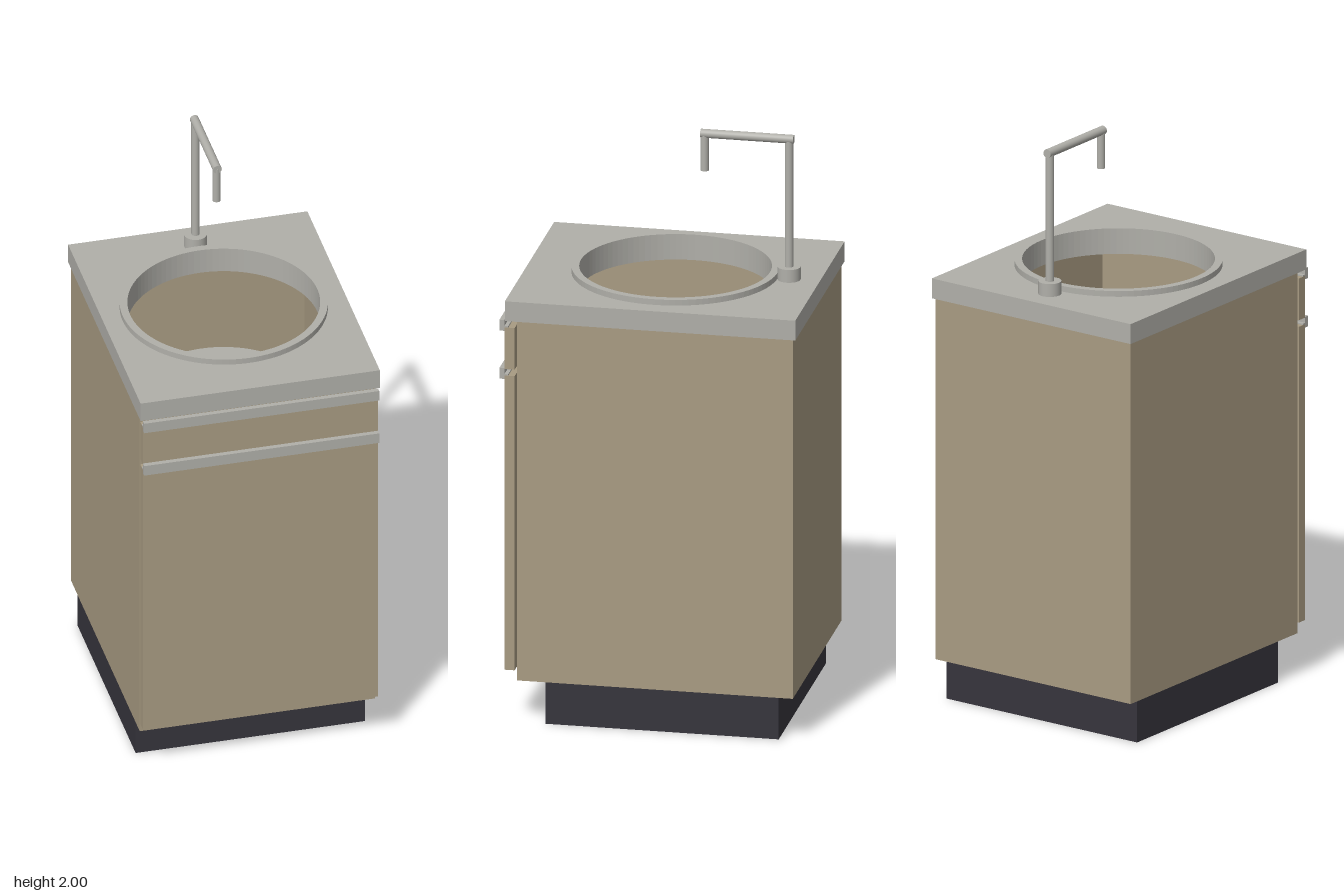
import * as THREE from 'three';

export function createModel() {
  const model = new THREE.Group();
  model.name = 'sinkCabinet';

  const wood = new THREE.MeshStandardMaterial({ color: 0xa89b82 });
  wood.name = 'beige wood';
  const metal = new THREE.MeshStandardMaterial({ color: 0xb0afa9 });
  metal.name = 'grey metal';
  const dark = new THREE.MeshStandardMaterial({ color: 0x36343c });
  dark.name = 'dark plinth';

  const add = (name, geometry, material, parent = model) => {
    const mesh = new THREE.Mesh(geometry, material);
    mesh.name = name;
    parent.add(mesh);
    return mesh;
  };
  // Box given by its limits on each axis
  const box = (name, material, [x0, x1], [y0, y1], [z0, z1], parent) => {
    const mesh = add(name, new THREE.BoxGeometry(x1 - x0, y1 - y0, z1 - z0), material, parent);
    mesh.position.set((x0 + x1) / 2, (y0 + y1) / 2, (z0 + z1) / 2);
    return mesh;
  };
  const group = (name) => {
    const g = new THREE.Group();
    g.name = name;
    model.add(g);
    return g;
  };
  // Horizontal plate with a round hole, rising from y0
  const plate = (name, shape, [hx, hz, hr], y0, height) => {
    const hole = new THREE.Path();
    hole.absarc(hx, -hz, hr, 0, Math.PI * 2, true);
    shape.holes.push(hole);
    const geometry = new THREE.ExtrudeGeometry(shape, { depth: height, bevelEnabled: false, curveSegments: 48 });
    geometry.rotateX(-Math.PI / 2);
    const mesh = add(name, geometry, metal);
    mesh.position.y = y0;
    return mesh;
  };
  const disc = (r, z) => new THREE.Shape().absarc(0, -z, r, 0, Math.PI * 2, false);

  // Plinth
  box('plinth', dark, [-0.395, 0.395], [0, 0.15], [-0.445, 0.35]);

  // Hollow carcass, open at the top under the counter
  const W = 0.405, T = 0.008, back = -0.495, front = 0.445;
  const carcass = group('carcass');
  box('carcassFloor', wood, [-W, W], [0.15, 0.15 + T], [back, front], carcass);
  for (const s of [-1, 1]) {
    const x = s * (W - T / 2);
    box(s > 0 ? 'leftWall' : 'rightWall', wood, [x - T / 2, x + T / 2], [0.15 + T, 1.42], [back, front], carcass);
  }
  box('backWall', wood, [-W + T, W - T], [0.15 + T, 1.42], [back, back + T], carcass);
  box('frontWall', wood, [-W + T, W - T], [0.15 + T, 1.42], [front - T, front], carcass);

  // Door and drawer fronts, each with a full-width lipped handle on its top edge
  for (const [name, y0, y1] of [['door', 0.185, 1.225], ['drawer', 1.248, 1.395]]) {
    const panel = group(name);
    box(name + 'Front', wood, [-W, W], [y0, y1], [0.453, 0.487], panel);
    box(name + 'HandlePlate', metal, [-W, W], [y1, y1 + 0.005], [0.475, 0.488], panel);
    box(name + 'HandleLip', metal, [-W, W], [y1 - 0.012, y1 + 0.026], [0.488, 0.505], panel);
  }

  // Counter with the sink opening
  const Z = -0.013, R = 0.322;
  const slab = new THREE.Shape([
    new THREE.Vector2(-0.412, -0.485), new THREE.Vector2(0.412, -0.485),
    new THREE.Vector2(0.412, 0.505), new THREE.Vector2(-0.412, 0.505),
  ]);
  plate('counter', slab, [0, Z, R], 1.42, 0.07);
  plate('sinkRim', disc(0.348, Z), [0, Z, R], 1.49, 0.02);

  // Sink bottom with its drain hole
  plate('sinkBottom', disc(0.304, Z), [0, Z, 0.053], 1.12, 0.008);

  // Tap: foot, post, arm and outlet
  const tap = group('tap');
  const rod = (name, r, length, y, z) => {
    const mesh = add(name, new THREE.CylinderGeometry(r, r, length, 24), metal, tap);
    mesh.position.set(0, y, z);
    return mesh;
  };
  rod('tapFoot', 0.039, 0.045, 1.5125, -0.4);
  rod('tapPost', 0.014, 0.495, 1.7375, -0.4);
  rod('tapArm', 0.015, 0.317, 1.985, -0.2575).rotation.x = Math.PI / 2;
  rod('tapOutlet', 0.014, 0.13, 1.92, -0.112);

  return model;
}
